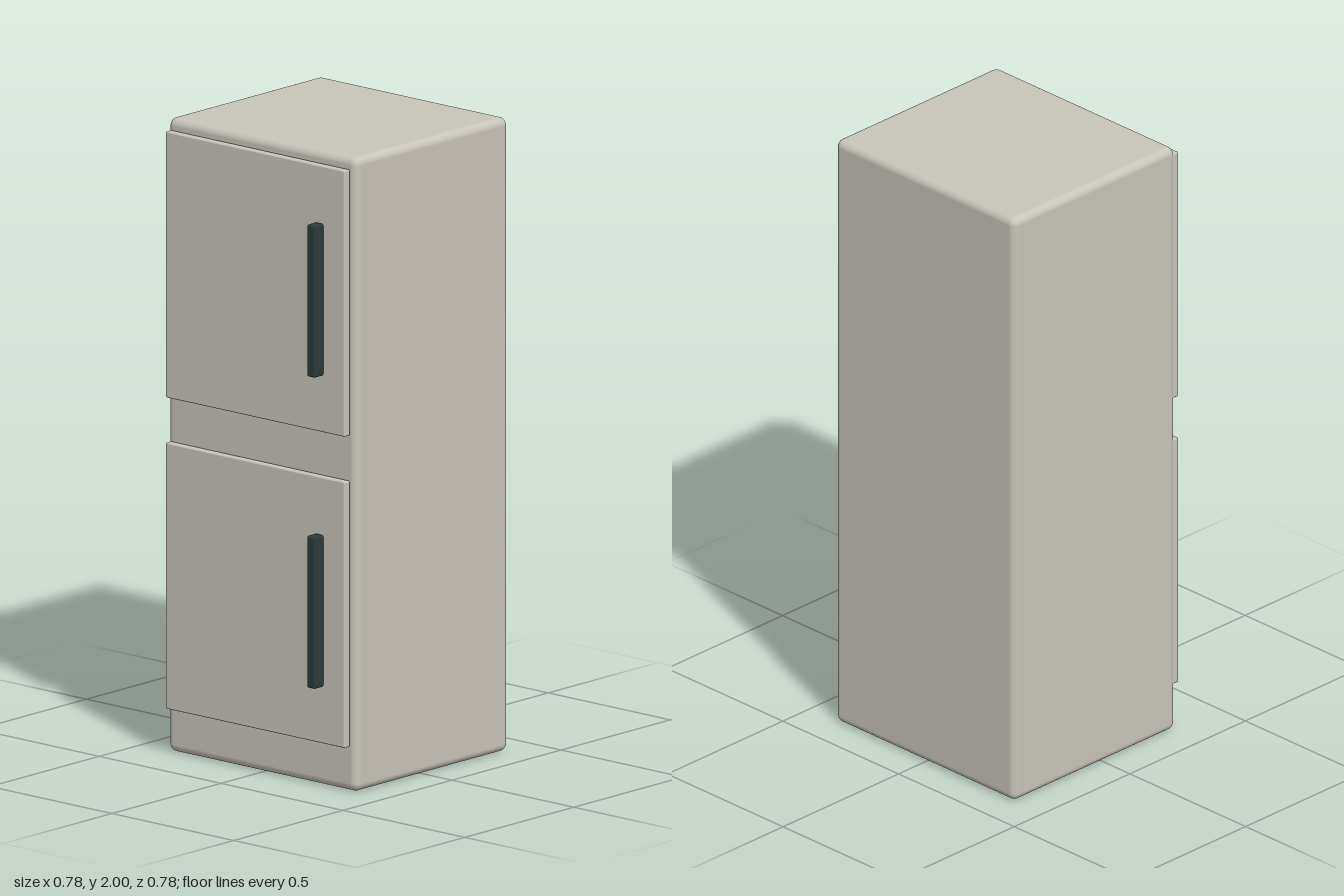
import * as THREE from 'three';
import { RoundedBoxGeometry } from 'three/addons/geometries/RoundedBoxGeometry.js';

const enamel = new THREE.MeshStandardMaterial({ name: 'warm grey enamel', color: 0xc8c4ba });
const dark = new THREE.MeshStandardMaterial({ name: 'dark handle', color: 0x2c3a3a });

// Rounded box given by its lower and upper corners
function roundedBox(name, min, max, radius, segments, material) {
  const size = max.map((v, i) => v - min[i]);
  const mesh = new THREE.Mesh(new RoundedBoxGeometry(...size, segments, radius), material);
  mesh.position.set(...max.map((v, i) => (v + min[i]) / 2));
  mesh.name = name;
  return mesh;
}

export function createModel() {
  const model = new THREE.Group();
  model.name = 'refrigerator';

  // Cabinet
  model.add(roundedBox('cabinet', [-0.388, 0, -0.388], [0.388, 2, 0.313], 0.025, 4, enamel));

  // Two equal doors, each with an upright handle near its left edge
  for (const [label, y] of [['lower', 0.143], ['upper', 1.125]]) {
    const door = new THREE.Group();
    door.name = label + 'Door';
    door.add(
      roundedBox(label + 'DoorPanel', [-0.368, 0, 0.318], [0.367, 0.84, 0.344], 0.005, 3, enamel),
      roundedBox(label + 'Handle', [0.25, 0.18, 0.344], [0.284, 0.66, 0.388], 0.007, 3, dark)
    );
    door.position.y = y;
    model.add(door);
  }
  return model;
}
